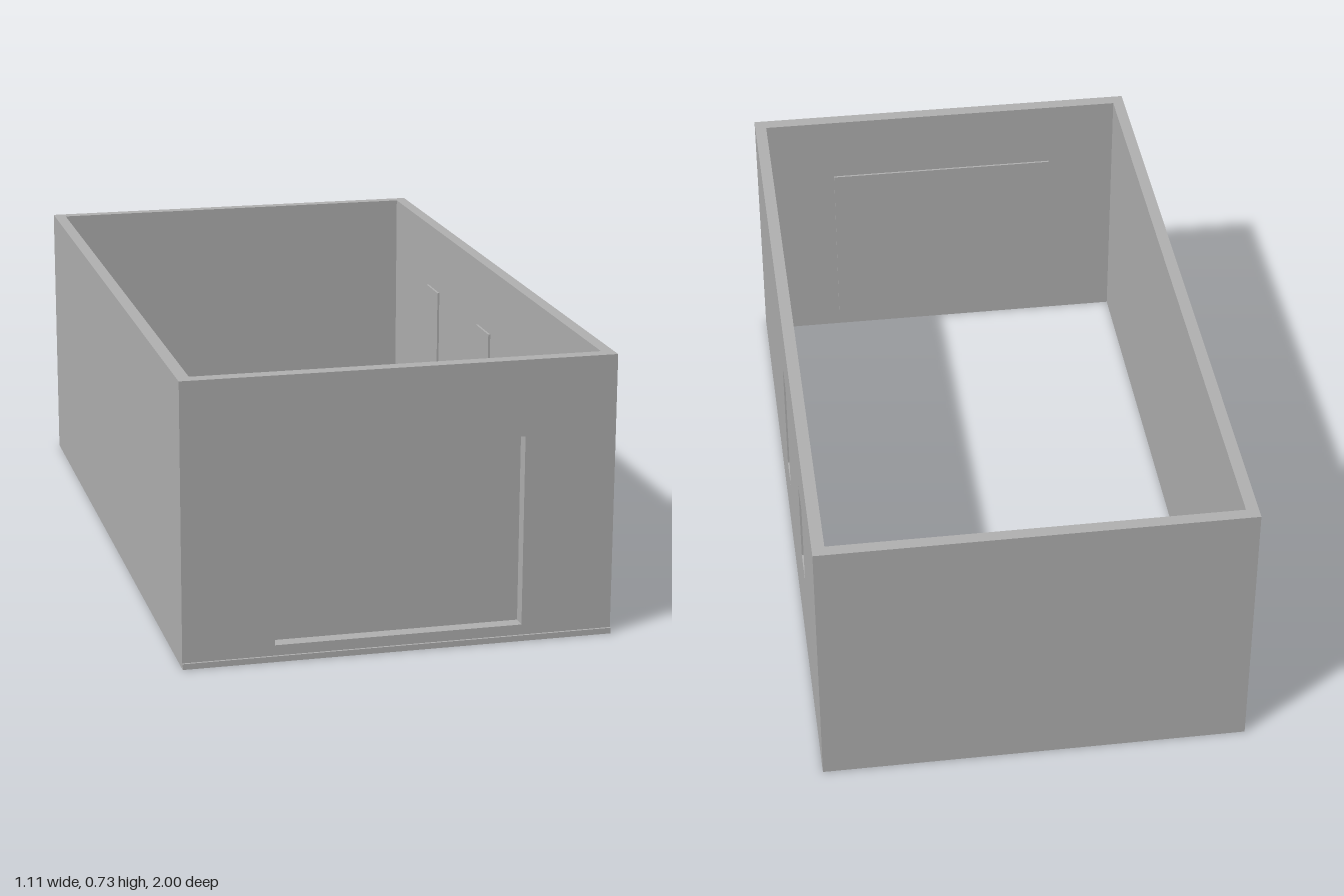
import * as THREE from 'three';

const H = 0.733;                     // wall height
const X = 0.554, XI = 0.522;         // outer and inner half width
const BACK = -1, BACK_IN = -0.968;   // back wall faces
const FRONT = 0.994, FRONT_IN = 0.957; // front wall faces

// Rectangle given as [u0, u1, v0, v1]
function trace(path, [u0, u1, v0, v1]) {
  path.moveTo(u0, v0);
  path.lineTo(u1, v0);
  path.lineTo(u1, v1);
  path.lineTo(u0, v1);
  path.closePath();
  return path;
}

// Upright slab with rectangular openings, extruded along +z
function slab(rect, depth, openings = []) {
  const shape = trace(new THREE.Shape(), rect);
  openings.forEach((o) => shape.holes.push(trace(new THREE.Path(), o)));
  return new THREE.ExtrudeGeometry(shape, { depth, bevelEnabled: false });
}

export function createModel() {
  const model = new THREE.Group();
  const grey = new THREE.MeshStandardMaterial({ color: 0xb2b2b2 });
  grey.name = 'wall grey';

  function add(name, geometry) {
    const mesh = new THREE.Mesh(geometry, grey);
    mesh.name = name;
    model.add(mesh);
  }

  const grow = ([a, b, c, d], m) => [a - m, b + m, c - m, d + m];
  const sideRect = [-FRONT, -BACK, 0, H];
  const thickness = X - XI;

  // Openings; on the side wall the first axis runs along -z
  const door = [-0.32, 0.318, 0.042, 0.537];
  const windows = [[-0.027, 0.075, 0.205, 0.54], [0.488, 0.59, 0.3, 0.54]];

  // Long side walls, the one on +x with two window niches
  add('leftWall', slab(sideRect, thickness, windows).rotateY(Math.PI / 2).translate(XI, 0, 0));
  add('rightWall', slab(sideRect, thickness).rotateY(Math.PI / 2).translate(-X, 0, 0));

  // End walls, the front one with a wide garage opening
  add('frontWall', slab([-XI, XI, 0, H], FRONT - FRONT_IN, [door]).translate(0, 0, FRONT_IN));
  add('backWall', slab([-XI, XI, 0, H], BACK_IN - BACK).translate(0, 0, BACK));

  // Thin panels closing the openings from inside
  const panel = 0.006;
  add('garageDoor', slab(grow(door, 0.008), panel).translate(0, 0, FRONT_IN - panel));
  windows.forEach((w, i) => {
    add('windowPanel' + (i + 1),
      slab(grow(w, 0.008), panel).rotateY(Math.PI / 2).translate(XI - panel, 0, 0));
  });

  // Low ledge along the foot of the front
  add('frontLedge', new THREE.BoxGeometry(2 * X, 0.015, 1 - FRONT).translate(0, 0.0075, (1 + FRONT) / 2));

  return model;
}
